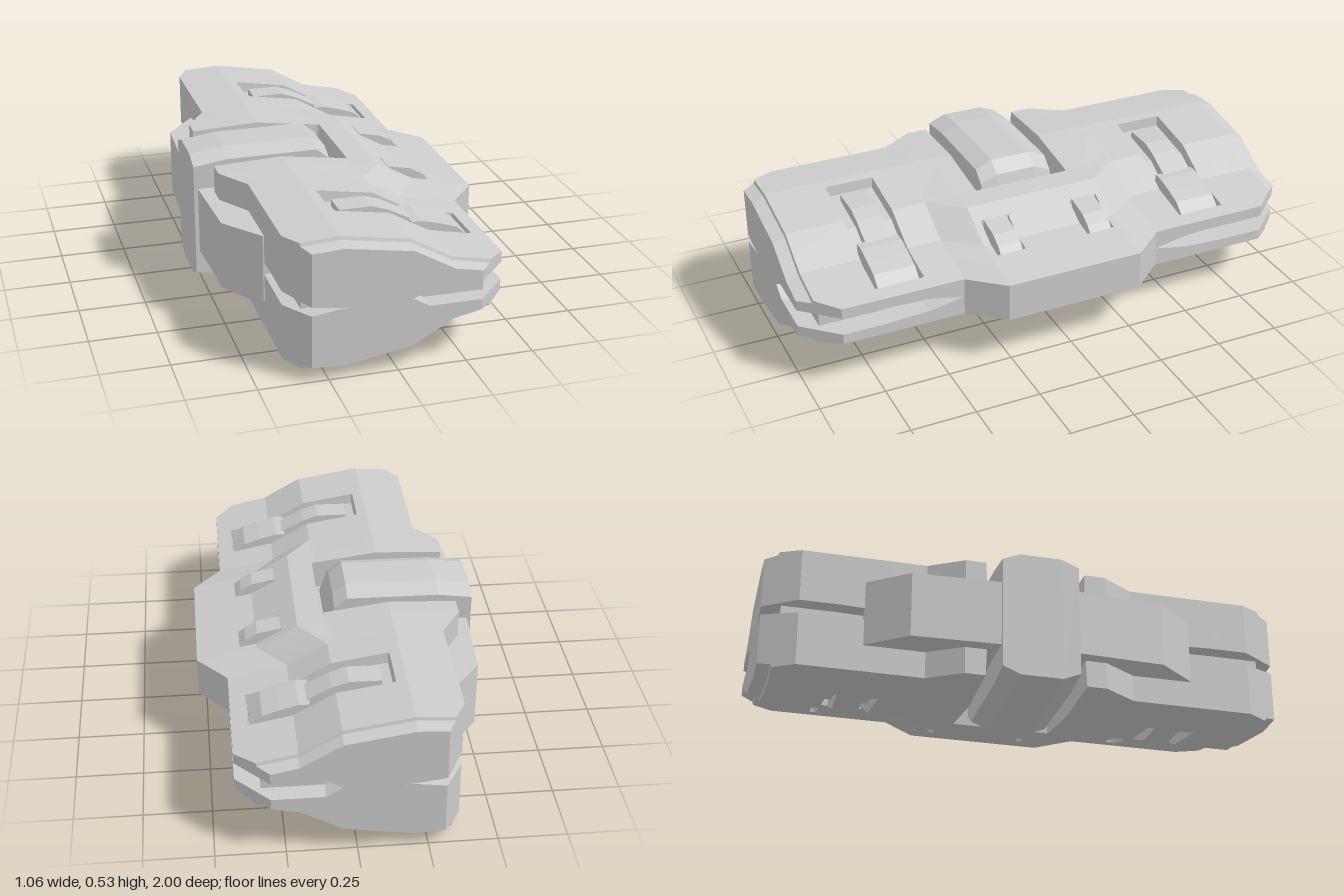
import * as THREE from 'three';

const MID = 0.268; // height of the mirror plane between upper and lower halves
const mat = new THREE.MeshStandardMaterial({ color: 0xcccccc, flatShading: true });

// piecewise linear curve through [t, value] knots
function lerpKnots(k, t) {
  if (t <= k[0][0]) return k[0][1];
  for (let i = 1; i < k.length; i++) {
    if (t <= k[i][0]) {
      const [a, va] = k[i - 1], [b, vb] = k[i];
      return va + (vb - va) * (t - a) / (b - a);
    }
  }
  return k[k.length - 1][1];
}

// skin closed rings (upper row, then lower row reversed) and cap both ends
function loft(rings) {
  const n = rings[0].length, pos = rings.flat(2), idx = [];
  const quad = (a, b, c, d) => idx.push(a, b, c, a, c, d);
  for (let r = 0; r < rings.length - 1; r++) {
    for (let i = 0; i < n; i++) {
      const j = (i + 1) % n, p = r * n, q = p + n;
      quad(p + i, q + i, q + j, p + j);
    }
  }
  const last = (rings.length - 1) * n;
  for (let i = 0; i < n / 2 - 1; i++) {
    const k = n - 1 - i;
    quad(i, i + 1, k - 1, k);
    quad(last + k, last + k - 1, last + i + 1, last + i);
  }
  const g = new THREE.BufferGeometry();
  g.setAttribute('position', new THREE.Float32BufferAttribute(pos, 3));
  g.setIndex(idx);
  const flat = g.toNonIndexed();
  flat.computeVertexNormals();
  return flat;
}

function add(parent, name, geometry) {
  const m = new THREE.Mesh(geometry, mat);
  m.name = name;
  parent.add(m);
  return m;
}

// polygon in x / height-from-middle, extruded across z
function slab(pts, side, z, width) {
  const shape = new THREE.Shape(pts.map(([x, h]) => new THREE.Vector2(x, MID + side * h)));
  const g = new THREE.ExtrudeGeometry(shape, { depth: width, bevelEnabled: false });
  return g.translate(0, 0, z - width / 2);
}

// shell rules: half thickness, widening towards the centre, seam gap
const THICK = [[-0.38, 0.232], [-0.2, 0.243], [0.05, 0.203], [0.2, 0.118], [0.42, 0.074]];
const SHIFT = [[-0.38, -0.08], [-0.2, 0], [0, 0.02], [0.05, 0.1], [0.42, 0.11]];
const GAP = [[-0.38, 0.026], [-0.19, 0], [0.05, 0], [0.11, 0.034], [0.42, 0.034]];
const EDGES = [-0.16, 0.012, 0.11, 0.26, 0.36];
const US = [-0.38, -0.31, -0.2, 0.05, 0.2, 0.3, 0.42, ...EDGES.flatMap(e => [e - 0.002, e + 0.002])]
  .sort((a, b) => a - b);
const ZHALF = [0.128, 0.132, 0.188, 0.192, 0.238, 0.242, 0.27, 0.4, 0.533, 0.537,
  0.718, 0.722, 0.87, 0.949, 0.953, 1];
const ZS = [...ZHALF.map(z => -z).reverse(), ...ZHALF];

function recess(u, z) {
  if (z < 0.19 && u < 0.012) return 0.11;                              // bay for the rear block
  if (z > 0.13 && z < 0.24 && u > 0.11 && u < 0.26) return 0.04;       // small slots
  if (z > 0.535 && z < 0.72 && u > -0.16 && u < 0.36) return 0.04;     // long slots
  return 0;
}

function shell(side) {
  const rings = ZS.map(zz => {
    const z = Math.abs(zz);
    const spread = lerpKnots([[0.27, 1], [0.4, 0]], z);
    const seam = lerpKnots([[0.4, 0], [0.58, 1]], z);
    const uMin = lerpKnots([[0.87, -0.38], [1, -0.31]], z);
    const uMax = lerpKnots([[0.87, 0.42], [1, 0.3]], z);
    const drop = lerpKnots([[0.949, 0], [0.953, 0.012], [1, 0.024]], z);
    const top = [], bottom = [];
    for (const u0 of US) {
      const u = Math.min(uMax, Math.max(uMin, u0));
      const x = u + spread * lerpKnots(SHIFT, u);
      const h = lerpKnots(THICK, u) - drop - recess(u, z);
      top.push([x, MID + side * h, zz]);
      bottom.unshift([x, MID + side * seam * lerpKnots(GAP, u), zz]);
    }
    return [...top, ...bottom];
  });
  if (side < 0) rings.reverse();
  return loft(rings);
}

export function createModel() {
  const model = new THREE.Group();
  model.name = 'armouredBlock';

  // upper and lower shells, mirrored about the seam
  add(model, 'upperShell', shell(1));
  add(model, 'lowerShell', shell(-1));

  // core seen inside the seam
  const core = new THREE.BoxGeometry(0.66, 0.09, 1.86);
  add(model, 'core', core.translate(0, MID, 0));

  // straps and tongues in the slots, on both faces and both sides
  for (const side of [1, -1]) {
    for (const dir of [1, -1]) {
      const straps = new THREE.Group();
      straps.name = (side > 0 ? 'upper' : 'lower') + (dir > 0 ? 'Front' : 'Rear') + 'Straps';
      model.add(straps);
      add(straps, 'longStrap', slab([[0.14, 0.15], [0.18, 0.15], [0.25, 0.132], [0.31, 0.112],
        [0.355, 0.075], [0.355, 0.04], [0.14, 0.08]], side, dir * 0.628, 0.16));
      add(straps, 'tongue', slab([[-0.12, 0.215], [0, 0.216], [0.06, 0.196], [0.16, 0.145],
        [0.16, 0.08], [-0.12, 0.15]], side, dir * 0.628, 0.1));
      add(straps, 'shortStrap', slab([[0.21, 0.172], [0.3, 0.154], [0.345, 0.128], [0.372, 0.1],
        [0.372, 0.05], [0.21, 0.08]], side, dir * 0.185, 0.09));
    }
  }

  // rear block running into the bay, with chamfered long edges
  const blockRings = [[-0.53, 0.246], [-0.4, 0.264], [-0.05, 0.266], [0, 0.225], [0.03, 0.14]]
    .map(([x, h]) => {
      const row = [[0.147, h - 0.028], [0.08, h], [-0.08, h], [-0.147, h - 0.028]];
      return [...row.map(([z, y]) => [x, MID + y, z]),
        ...row.slice().reverse().map(([z, y]) => [x, MID - y, z])];
    });
  add(model, 'rearBlock', loft(blockRings));

  // wide plate across the back, swept in at its ends
  const outline = [[-0.5, 0.48], [-0.385, 0.63], [-0.35, 0.63], [-0.35, -0.63], [-0.385, -0.63],
    [-0.5, -0.48], [-0.515, -0.14], [-0.515, 0.14]];
  const plate = new THREE.ExtrudeGeometry(
    new THREE.Shape(outline.map(([x, z]) => new THREE.Vector2(x, -z))),
    { depth: 0.255, bevelEnabled: false });
  plate.rotateX(-Math.PI / 2).translate(0, MID - 0.1275, 0);
  add(model, 'backPlate', plate);

  return model;
}
